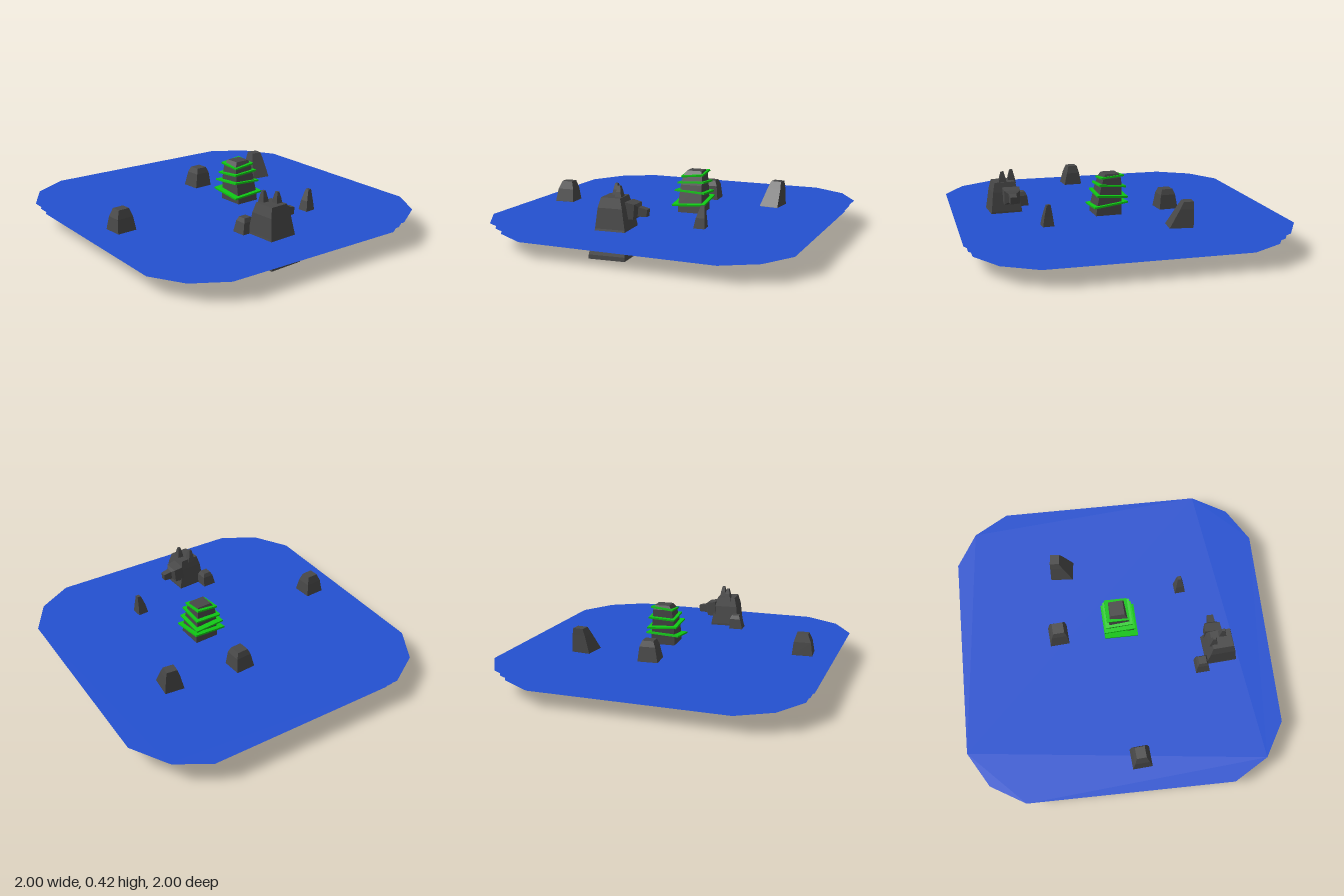
import * as THREE from 'three';

const rockMat = new THREE.MeshStandardMaterial({ color: 0x484848, flatShading: true });
rockMat.name = 'dark rock';
const waterMat = new THREE.MeshStandardMaterial({ color: 0x2350d0, side: THREE.DoubleSide });
waterMat.name = 'blue water';
const leafMat = new THREE.MeshStandardMaterial({ color: 0x0fc814 });
leafMat.name = 'green ledge';

// Lofts four-sided sections [y, centreX, centreZ, halfX, halfZ], from bottom to top
function loft(sections, turn = 0) {
  const pos = [], index = [];
  const corners = [[1, 1], [-1, 1], [-1, -1], [1, -1]];
  const c = Math.cos(turn), s = Math.sin(turn);
  for (const [y, cx, cz, hx, hz] of sections) {
    for (const [u, v] of corners) {
      const x = u * hx, z = v * hz;
      pos.push(cx + x * c + z * s, y, cz - x * s + z * c);
    }
  }
  for (let k = 0; k < sections.length - 1; k++) {
    for (let i = 0; i < 4; i++) {
      const a = k * 4 + i, b = k * 4 + (i + 1) % 4;
      index.push(a, a + 4, b, b, a + 4, b + 4);
    }
  }
  const t = (sections.length - 1) * 4;
  index.push(0, 1, 2, 0, 2, 3, t, t + 2, t + 1, t, t + 3, t + 2);
  const indexed = new THREE.BufferGeometry();
  indexed.setAttribute('position', new THREE.Float32BufferAttribute(pos, 3));
  indexed.setIndex(index);
  const g = indexed.toNonIndexed();
  g.computeVertexNormals();
  return g;
}

export function createModel() {
  const model = new THREE.Group();
  model.name = 'rockyIslets';
  const add = (name, geometry, material, parent = model) => {
    const mesh = new THREE.Mesh(geometry, material);
    mesh.name = name;
    parent.add(mesh);
    return mesh;
  };

  // Water: three thin sheets with cut corners, shrinking with depth
  const outline = [];
  const corner = [[1, 0.65], [0.87, 0.87], [0.65, 1]];
  for (let q = 0; q < 4; q++) {
    for (const [x, y] of corner) {
      outline.push(new THREE.Vector2(x, y).rotateAround(new THREE.Vector2(), q * Math.PI / 2));
    }
  }
  const sheet = new THREE.ShapeGeometry(new THREE.Shape(outline)).rotateX(-Math.PI / 2);
  [[0.168, 1], [0.133, 0.975], [0.097, 0.95]].forEach(([y, size], i) => {
    const water = add('waterSheet' + (i + 1), sheet, waterMat);
    water.position.y = y;
    water.scale.set(size, 1, size);
  });

  // Scattered rocks
  const rocks = {
    leftRock: [0.07, [
      [0.07, -0.365, -0.07, 0.074, 0.074], [0.17, -0.362, -0.075, 0.062, 0.064],
      [0.26, -0.36, -0.08, 0.049, 0.05], [0.295, -0.36, -0.08, 0.036, 0.036]]],
    backRock: [-0.1, [
      [0.07, -0.275, -0.53, 0.09, 0.074], [0.17, -0.3, -0.537, 0.073, 0.062],
      [0.28, -0.33, -0.55, 0.042, 0.045], [0.325, -0.342, -0.555, 0.03, 0.034]]],
    frontRock: [0.07, [
      [0.07, 0.09, 0.8, 0.073, 0.073], [0.17, 0.083, 0.79, 0.062, 0.064],
      [0.25, 0.08, 0.788, 0.046, 0.054], [0.3, 0.078, 0.785, 0.031, 0.036]]],
    slimRock: [0.08, [
      [0.13, 0.47, -0.33, 0.04, 0.04], [0.23, 0.468, -0.337, 0.026, 0.026],
      [0.3, 0.465, -0.348, 0.012, 0.012]]],
    smallRock: [0.06, [
      [0.105, 0.55, 0.23, 0.055, 0.05], [0.17, 0.545, 0.227, 0.045, 0.045],
      [0.235, 0.543, 0.22, 0.036, 0.036], [0.26, 0.543, 0.22, 0.025, 0.025]]]
  };
  for (const [name, [turn, sections]] of Object.entries(rocks)) add(name, loft(sections, turn), rockMat);

  // Large horned rock with a stub pointing backwards
  const horned = new THREE.Group();
  horned.name = 'hornedRock';
  model.add(horned);
  add('hornedBody', loft([
    [0.005, 0.68, 0.127, 0.124, 0.114], [0.03, 0.68, 0.127, 0.122, 0.112],
    [0.18, 0.668, 0.12, 0.098, 0.093], [0.3, 0.67, 0.125, 0.08, 0.076],
    [0.36, 0.67, 0.125, 0.066, 0.06]], 0.07), rockMat, horned);
  [[0.615, 0.14], [0.678, 0.09]].forEach(([x, z], i) => add('horn' + (i + 1), loft([
    [0.34, x, z, 0.028, 0.023], [0.39, x, z, 0.018, 0.015], [0.425, x, z, 0.009, 0.008]]), rockMat, horned));
  const stub = add('backStub', loft([
    [0, 0, 0, 0.055, 0.05], [0.06, 0, 0, 0.05, 0.045], [0.075, 0, 0, 0.024, 0.028],
    [0.13, 0, 0, 0.02, 0.022]]), rockMat, horned);
  stub.rotation.x = -Math.PI / 2 - 0.1;
  stub.position.set(0.63, 0.28, 0.06);

  // Tall tower rock ringed with thin green ledges
  const tower = new THREE.Group();
  tower.name = 'tower';
  model.add(tower);
  add('towerRock', loft([
    [0.01, 0.06, -0.12, 0.094, 0.085], [0.08, 0.058, -0.12, 0.09, 0.08],
    [0.22, 0.05, -0.118, 0.08, 0.078], [0.34, 0.035, -0.117, 0.068, 0.07],
    [0.4, 0.027, -0.12, 0.058, 0.062], [0.428, 0.025, -0.125, 0.045, 0.048]], 0.05), rockMat, tower);
  const ledges = [ // y, x, z, half width, tilt about x, tilt about z
    [0.232, 0.043, -0.112, 0.109, 0.06, -0.13],
    [0.295, 0.033, -0.115, 0.099, -0.06, 0.07],
    [0.352, 0.03, -0.118, 0.087, 0.05, 0.08],
    [0.405, 0.026, -0.12, 0.073, 0.1, -0.1]
  ];
  ledges.forEach(([y, x, z, half, tiltX, tiltZ], i) => {
    const ledge = add('ledge' + (i + 1), new THREE.BoxGeometry(half * 2, 0.011, half * 2), leafMat, tower);
    ledge.position.set(x, y, z);
    ledge.rotation.set(tiltX, 0.04, tiltZ);
  });

  return model;
}
